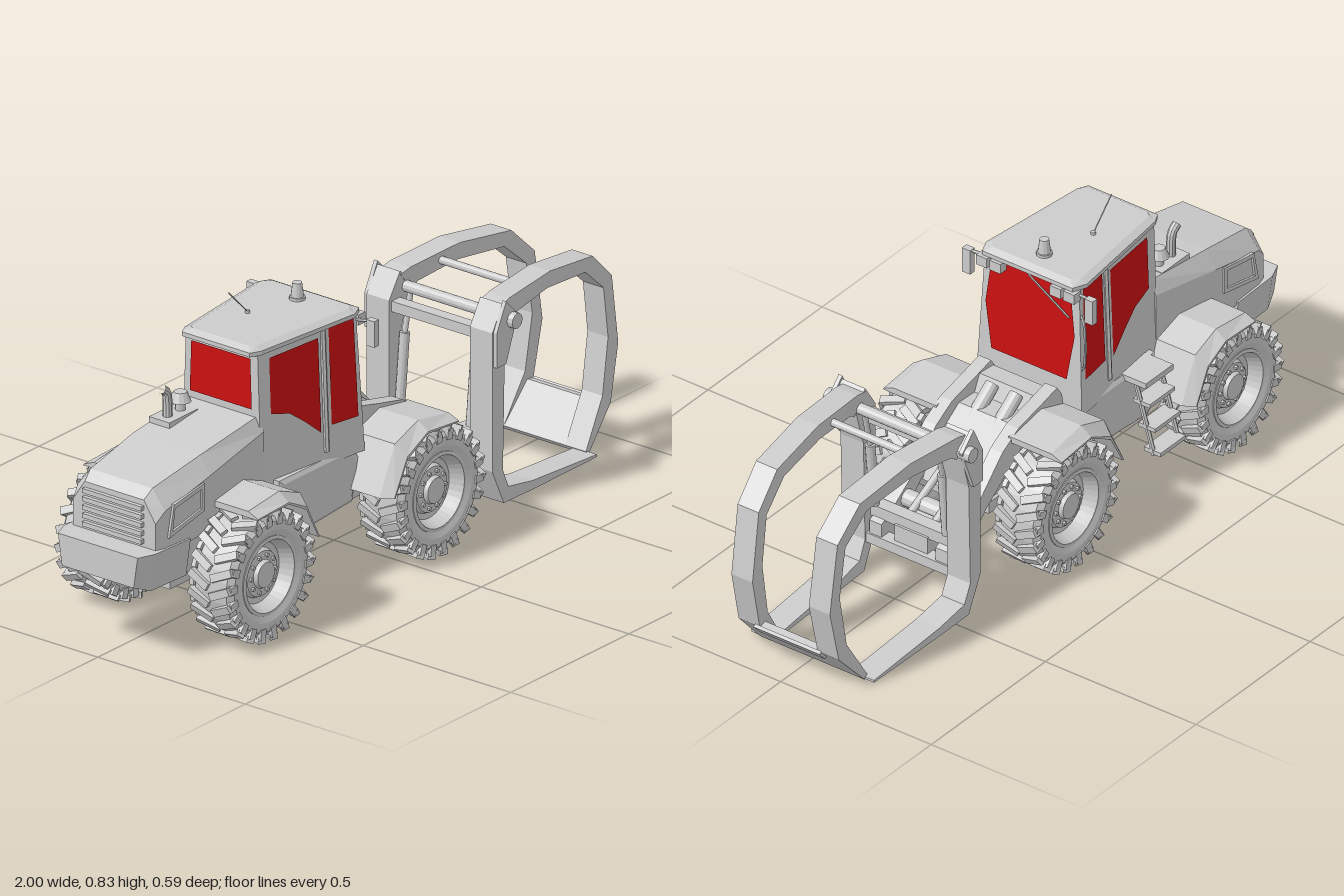
import * as THREE from 'three';
import { mergeGeometries } from 'three/addons/utils/BufferGeometryUtils.js';

const grey = new THREE.MeshStandardMaterial({ color: 0xcccccc, flatShading: true });
const red = new THREE.MeshStandardMaterial({ color: 0xcc1010, side: THREE.DoubleSide });
const V = (x, y, z) => new THREE.Vector3(x, y, z);

// Skin between rings of equal point count, capped at both ends, facing outward
function loft(rings) {
  const n = rings[0].length, tris = [];
  for (let i = 0; i + 1 < rings.length; i++) for (let j = 0; j < n; j++) {
    const k = (j + 1) % n, a = rings[i], b = rings[i + 1];
    tris.push([a[j], a[k], b[k]], [a[j], b[k], b[j]]);
  }
  const last = rings[rings.length - 1];
  for (let j = 1; j + 1 < n; j++) {
    tris.push([rings[0][0], rings[0][j + 1], rings[0][j]], [last[0], last[j], last[j + 1]]);
  }
  let vol = 0;
  for (const [a, b, c] of tris) vol += V(...a).dot(V(...b).cross(V(...c)));
  const pos = tris.flatMap(t => (vol < 0 ? [t[0], t[2], t[1]] : t).flat());
  const g = new THREE.BufferGeometry();
  g.setAttribute('position', new THREE.Float32BufferAttribute(pos, 3));
  g.computeVertexNormals();
  return g;
}

// Bent bar: stations [outerX, outerY, innerX, innerY]; profile(x) lists [inner-to-outer share, z]
const strip = (stations, profile) => loft(stations.map(([ox, oy, ix, iy]) =>
  profile(ox).map(([t, z]) => [ix + (ox - ix) * t, iy + (oy - iy) * t, z])));

const shape = pts => new THREE.Shape(pts.map(p => new THREE.Vector2(...p)));
const plate = (pts, z0, z1) =>
  new THREE.ExtrudeGeometry(shape(pts), { depth: z1 - z0, bevelEnabled: false }).translate(0, 0, z0);
const box = (x0, x1, y0, y1, z0, z1) => new THREE.BoxGeometry(x1 - x0, y1 - y0, z1 - z0)
  .translate((x0 + x1) / 2, (y0 + y1) / 2, (z0 + z1) / 2);
function rod(a, b, r, r2 = r, seg = 12) {
  const p = V(...a), q = V(...b), d = q.clone().sub(p);
  const g = new THREE.CylinderGeometry(r2, r, d.length(), seg);
  g.applyQuaternion(new THREE.Quaternion().setFromUnitVectors(V(0, 1, 0), d.normalize()));
  return g.translate(...p.add(q).multiplyScalar(0.5).toArray());
}

function makeWheel() {
  const wheel = new THREE.Group();
  const lathe = pts => new THREE.LatheGeometry(pts.map(p => new THREE.Vector2(...p)), 36).rotateX(Math.PI / 2);
  const part = (name, g) => { const m = new THREE.Mesh(g, grey); m.name = name; wheel.add(m); };
  part('tire', lathe([[.1, -.055], [.13, -.066], [.155, -.066], [.172, -.052], [.176, 0],
    [.172, .052], [.155, .066], [.13, .066], [.1, .055]]));
  // Chevron tread, the two sides half a pitch apart
  const lugs = [];
  for (const s of [-1, 1]) for (let i = 0; i < 22; i++) {
    const a = (i + (s > 0 ? .5 : 0)) / 22 * Math.PI * 2;
    lugs.push(new THREE.BoxGeometry(.022, .018, .07).rotateY(s * .45).translate(0, .176, s * .036).rotateZ(a));
    lugs.push(new THREE.BoxGeometry(.022, .03, .014).translate(s * .013, .16, s * .063).rotateZ(a));
  }
  part('tread', mergeGeometries(lugs));
  part('rim', lathe([[0, -.03], [.1, -.05], [.112, -.045], [.112, .062], [.102, .064], [.096, .05], [.086, .025],
    [.07, .022], [.064, .036], [.04, .038], [.036, .05], [0, .05]]));
  const bolts = [];
  for (let i = 0; i < 10; i++) {
    const a = i * Math.PI / 5, x = Math.cos(a) * .052, y = Math.sin(a) * .052;
    bolts.push(rod([x, y, .035], [x, y, .044], .006, .006, 6));
  }
  part('bolts', mergeGeometries(bolts));
  return wheel;
}

export function createModel() {
  const root = new THREE.Group();
  root.name = 'forestryMachine';
  const add = (name, g, mat = grey) => {
    const m = new THREE.Mesh(g, mat);
    m.name = name;
    root.add(m);
  };
  const sides = fn => [1, -1].forEach(s => fn(s, s > 0 ? 'Right' : 'Left'));
  const sbox = (s, x0, x1, y0, y1, z0, z1) => box(x0, x1, y0, y1, Math.min(s * z0, s * z1), Math.max(s * z0, s * z1));

  // Wheels and axles
  for (const x of [-.63, .09]) {
    sides(s => {
      const w = makeWheel();
      w.name = x > 0 ? 'frontWheel' : 'rearWheel';
      w.position.set(x, .19, s * .225);
      if (s < 0) w.rotation.y = Math.PI;
      root.add(w);
    });
    add('axle', rod([x, .19, -.2], [x, .19, .2], .045));
    add('differential', rod([x, .19, -.05], [x, .19, .05], .07));
  }

  // Fenders with a bevelled outer edge
  const fenders = {
    rearFender: [[-.69, .39, -.69, .372], [-.56, .405, -.56, .375], [-.47, .37, -.485, .335], [-.41, .24, -.435, .24]],
    frontFender: [[.16, .388, .16, .37], [.03, .41, .03, .38], [-.07, .375, -.055, .335], [-.135, .24, -.108, .24]],
  };
  for (const [name, st] of Object.entries(fenders)) sides((s, n) => add(name + n,
    strip(st, () => [[1, .12], [1, .262], [.2, .296], [0, .296], [0, .12]].map(([t, z]) => [t, s * z]))));

  // Chassis
  add('rearFrame', box(-.9, -.1, .2, .37, -.115, .115));
  add('bellyPlate', box(-.82, .22, .165, .2, -.1, .1));
  add('frontFrame', plate([[-.12, .19], [.2, .19], [.26, .22], [.22, .3], [.1, .38], [-.12, .37]], -.09, .09));
  sides((s, n) => add('sideTank' + n, loft([[.1, 0], [.158, 0], [.165, .012]].map(([z, i]) =>
    [[-.43, .36], [-.13, .36], [-.095, .32], [-.12, .2], [-.4, .18], [-.43, .22]].map(([x, y]) =>
      [x + Math.sign(-.26 - x) * i, y + Math.sign(.27 - y) * i, s * z])))));
  add('counterweight', loft([[-1, .235, .325, .135], [-.95, .215, .325, .155], [-.8, .21, .32, .155]].map(([x, a, b, w]) =>
    [[x, a, -w * .9], [x, b, -w], [x, b, w], [x, a, w * .9]])));

  // Engine hood, rear grille and side vents
  add('hood', loft([[-.93, .31, .4, .46, .14, .1], [-.9, .31, .43, .485, .148, .105],
    [-.71, .31, .47, .52, .15, .115], [-.465, .31, .51, .55, .135, .115]].map(([x, b, m, t, w, v]) =>
    [[x, b, -w], [x, m, -w], [x, t, -v], [x, t, v], [x, m, w], [x, b, w]])));
  for (let i = 0; i < 5; i++) add('grilleSlat', box(-.942, -.925, .335 + i * .024, .348 + i * .024, -.1, .1));
  const vent = shape([[-.89, .35], [-.74, .38], [-.74, .46], [-.87, .44]]);
  vent.holes.push(new THREE.Path([[-.875, .365], [-.865, .428], [-.752, .446], [-.752, .39]].map(p => new THREE.Vector2(...p))));
  sides((s, n) => add('ventFrame' + n,
    new THREE.ExtrudeGeometry(vent, { depth: .012, bevelEnabled: false }).translate(0, 0, s * .149 - .006)));
  add('exhaustBase', box(-.64, -.52, .52, .545, -.115, -.045));
  const pipe = new THREE.CatmullRomCurve3([V(-.605, .53, -.08), V(-.605, .59, -.08), V(-.61, .615, -.08), V(-.63, .63, -.08)]);
  add('exhaustPipe', new THREE.TubeGeometry(pipe, 10, .013, 10));
  add('airIntake', rod([-.55, .53, -.08], [-.55, .575, -.08], .014));
  add('airIntakeCap', rod([-.55, .57, -.08], [-.55, .597, -.08], .03, .018));

  // Cab, wider toward the front and narrower toward the roof
  const cabZ = (x, y) => (.135 + (x + .475) / .385 * .04) * (1 - .1 * (y - .34) / .395);
  const frontX = y => -.088 - (y - .34) * .035;
  add('cab', loft([.34, .735].map(y => {
    const f = frontX(y);
    return [[-.475, y, -cabZ(-.475, y)], [-.475, y, cabZ(-.475, y)], [f, y, cabZ(f, y)], [f, y, -cabZ(f, y)]];
  })));
  const pane = (name, pts, rule) => {
    const g = new THREE.ShapeGeometry(shape(pts)), p = g.attributes.position;
    for (let i = 0; i < p.count; i++) p.setXYZ(i, ...rule(p.getX(i), p.getY(i)));
    g.computeVertexNormals();
    add(name, g, red);
  };
  sides((s, n) => {
    const onSide = (x, y) => [x, y, s * (cabZ(x, y) + .003)];
    pane('rearSideWindow' + n, [[-.435, .55], [-.365, .53], [-.31, .49], [-.25, .44], [-.25, .71], [-.435, .71]], onSide);
    pane('frontSideWindow' + n, [[-.21, .45], [-.11, .445], [-.115, .725], [-.21, .725]], onSide);
    add('doorPillar' + n, rod([-.23, .38, s * cabZ(-.23, .38)], [-.23, .73, s * cabZ(-.23, .73)], .009, .009, 6));
  });
  pane('windshield', [[-.125, .44], [.125, .44], [.148, .58], [.13, .725], [-.13, .725], [-.148, .58]],
    (z, y) => [frontX(y) + .004, y, z]);
  pane('rearWindow', [[-.105, .57], [.105, .57], [.1, .715], [-.1, .715]], (z, y) => [-.479, y, z]);
  add('roof', loft([[.73, 0], [.742, 0], [.752, .02]].map(([y, i]) => [[-.5 + i, .115 - i], [-.47, .13 - i],
    [-.12, .168 - i], [-.08 - i, .15 - i], [-.08 - i, -.15 + i], [-.12, -.168 + i], [-.47, -.13 + i],
    [-.5 + i, -.115 + i]].map(([x, z]) => [x, y, z]))));
  add('wiper', rod([-.085, .725, 0], [-.085, .64, -.135], .003, .003, 6));
  add('beaconBase', rod([-.155, .75, 0], [-.155, .76, 0], .022));
  add('beacon', rod([-.155, .76, 0], [-.155, .8, 0], .018, .013));
  add('antennaBase', rod([-.31, .75, -.045], [-.31, .76, -.045], .007));
  add('antenna', rod([-.31, .755, -.045], [-.39, .836, -.045], .0018, .0018, 5));
  sides((s, n) => {
    for (const z of [.1, .145]) add('workLight' + n, sbox(s, -.1, -.07, .7, .73, z - .018, z + .018));
    add('mirrorArm' + n, rod([-.1, .715, s * .15], [-.09, .72, s * .2], .005, .005, 6));
    add('mirror' + n, sbox(s, -.1, -.08, .65, .725, .19, .217));
  });
  const rail = [V(-.1, .48, -.165), V(-.09, .5, -.182), V(-.09, .63, -.182), V(-.1, .65, -.165)];
  add('handrail', new THREE.TubeGeometry(new THREE.CatmullRomCurve3(rail), 16, .004, 6));

  // Cab ladder
  for (const x of [-.405, -.3]) add('ladderRail', rod([x, .36, -.19], [x, .14, -.255], .007, .007, 6));
  [.145, .215, .285].forEach((y, i) => add('ladderTread',
    box(-.405, -.295, y, y + .012, -.28 + i * .018, -.225 + i * .018)));
  add('ladderPlatform', box(-.41, -.29, .345, .362, -.235, -.14));

  // Lift arms and hydraulics
  sides((s, n) => {
    const arm = [[-.07, .36], [-.06, .41], [-.04, .44], [.02, .425], [.13, .4], [.2, .36], [.3, .26], [.4, .19], [.44, .17],
      [.44, .1], [.38, .11], [.27, .22], [.12, .33]];
    add('liftArm' + n, plate(arm, s * .11 - .02, s * .11 + .02));
    add('liftCylinder' + n, rod([.02, .415, s * .04], [.2, .285, s * .04], .02));
    add('cylinderGland' + n, rod([.185, .296, s * .04], [.215, .274, s * .04], .026));
    add('liftRod' + n, rod([.2, .285, s * .04], [.38, .195, s * .04], .011));
  });
  add('liftTower', plate([[-.08, .36], [-.05, .42], [.01, .425], [.04, .36]], -.09, .09));
  add('armCrossTube', rod([.33, .2, -.12], [.33, .2, .12], .025));
  add('coupler', loft([-.055, .055].map(z => [[.36, .11, z], [.43, .11, z], [.43, .18, z], [.36, .2, z]])));
  add('couplerBeam', box(.385, .425, .175, .21, -.14, .14));
  add('couplerLowerBeam', box(.405, .445, .1, .13, -.14, .14));

  // Grapple: fixed frame with lower tines, and the upper closing jaw
  const frame = [[.45, .59, .495, .55], [.405, .52, .482, .505], [.405, .42, .457, .42], [.405, .12, .45, .11],
    [.455, .014, .475, .055], [.58, .01, .58, .036], [.86, .008, .86, .015]];
  const jaw = [[.45, .58, .5, .525], [.49, .59, .52, .54], [.68, .6, .67, .555], [.88, .572, .85, .535],
    [.97, .485, .935, .46], [1, .28, .957, .31], [.965, .12, .93, .15], [.86, .005, .85, .018]];
  const tube = (c, h) => [[1, c - h], [0, c - h], [0, c + h], [1, c + h]];
  sides((s, n) => {
    add('grappleFrame' + n, strip(frame, x => tube(s * (.175 - (x - .4) * .02), .038)));
    add('grappleCheek' + n, plate([[.41, .42], [.45, .42], [.5, .55], [.45, .6], [.41, .52]], s * .218 - .006, s * .218 + .006));
    add('jawArm' + n, strip(jaw, x => tube(s * (.172 - (x - .42) * .075), .035)));
    add('jawPivot' + n, rod([.475, .54, s * .2], [.475, .54, s * .242], .022));
    add('jawCylinder' + n, rod([.43, .22, s * .12], [.45, .42, s * .12], .014));
    add('jawRod' + n, rod([.45, .42, s * .12], [.475, .53, s * .12], .008));
  });
  add('jawTipPlate', plate([[.965, .12], [.86, .005], [.85, .018], [.94, .125]], -.13, .13));
  add('jawTipRib', plate([[.975, .12], [.95, .092], [.942, .1], [.966, .125]], -.11, .11));
  add('jawCrossBar', rod([.61, .572, -.15], [.61, .572, .15], .011));
  add('pivotTube', rod([.475, .54, -.2], [.475, .54, .2], .016));
  add('frameCrossBar', box(.415, .45, .485, .515, -.15, .15));
  return root;
}
